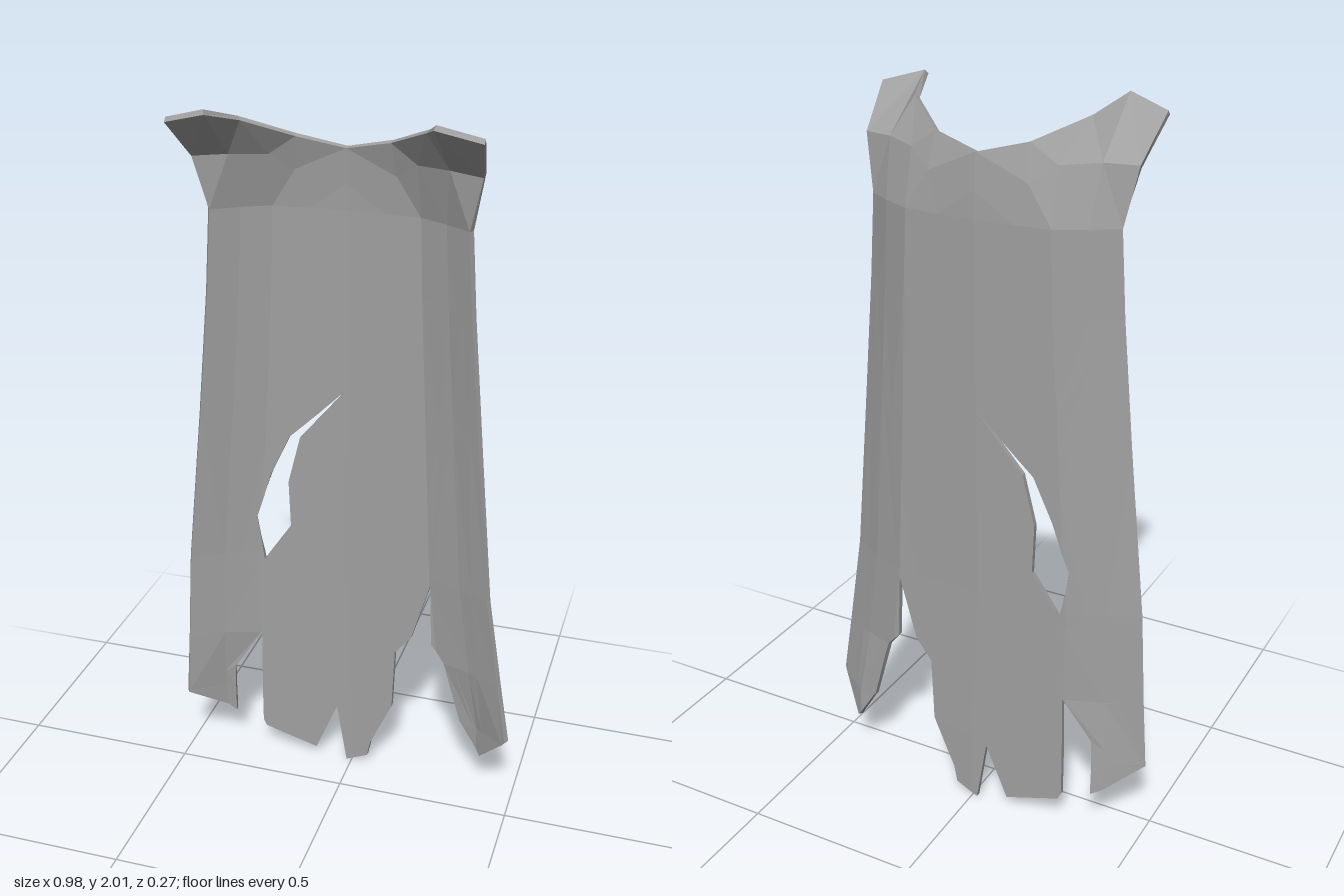
import * as THREE from 'three';
import { mergeVertices } from 'three/addons/utils/BufferGeometryUtils.js';

const TOP = 1.72, THICK = 0.015;
const COLUMNS = [-1, -0.8, -0.58, -0.3, 0, 0.3, 0.58, 0.8, 1]; // vertical folds
const ROWS = [1.5, 1.15, 0.69, 0.42, 0.22];                    // horizontal creases

// piecewise linear lookup, keys ascending
function lookup(table, t) {
  if (t <= table[0][0]) return table[0][1];
  for (let i = 1; i < table.length; i++) {
    const [a, p] = table[i - 1], [b, q] = table[i];
    if (t <= b) return p + (q - p) * (t - a) / (b - a);
  }
  return table[table.length - 1][1];
}

// side edges of the cloth by height
const LEFT = [[0.22, -0.485], [0.69, -0.455], [1.15, -0.405], [1.5, -0.37], [TOP, -0.355]];
const RIGHT = [[0.22, 0.485], [0.69, 0.41], [1.15, 0.367], [1.5, 0.335], [TOP, 0.32]];

// cloth coordinates: u runs -1..1 across, y is height
function toU([x, y]) {
  const l = lookup(LEFT, y), r = lookup(RIGHT, y);
  return new THREE.Vector2(2 * (x - l) / (r - l) - 1, y);
}
function toSpace({ x: u, y }) {
  const l = lookup(LEFT, y), r = lookup(RIGHT, y);
  const hem = lookup([[0.12, -0.1], [0.42, -0.073]], y);
  const z = lookup([[0, -0.121], [0.58, -0.11], [0.8, hem], [1, -0.027]], Math.abs(u));
  return [l + (r - l) * (u + 1) / 2, y, z];
}

// split convex polygons along the line axis = value
function slice(polys, axis, value) {
  const out = [];
  for (const poly of polys) {
    const low = [], high = [];
    poly.forEach((p, i) => {
      const q = poly[(i + 1) % poly.length];
      const snap = (d) => (Math.abs(d) < 1e-6 ? 0 : d);
      const d = snap(p[axis] - value), e = snap(q[axis] - value);
      if (d <= 0) low.push(p);
      if (d >= 0) high.push(p);
      if (d * e < 0) {
        const m = p.clone().lerp(q, d / (d - e));
        low.push(m);
        high.push(m);
      }
    });
    for (const part of [low, high]) if (part.length > 2) out.push(part);
  }
  return out;
}

// hanging cloth with torn hem and slit
function bodyTriangles() {
  const hem = [
    [-0.362, 0.125], [-0.355, 0.295], [-0.275, 0.42], [-0.278, 0.1], [-0.268, 0.08], [-0.11, 0.03],
    [-0.045, 0.19], [-0.015, 0], [0.05, 0.03], [0.06, 0.08], [0.125, 0.23], [0.132, 0.42], [0.18, 0.48],
    [0.232, 0.665], [0.24, 0.47], [0.28, 0.42], [0.335, 0.23], [0.4, 0.125],
  ].map(toU);
  const outline = [
    new THREE.Vector2(-1, TOP), new THREE.Vector2(-1, 0.215), ...hem,
    new THREE.Vector2(1, 0.235), new THREE.Vector2(1, TOP),
  ];
  const slit = [
    [-0.02, 1.225], [-0.15, 1.07], [-0.185, 0.93], [-0.18, 0.79],
    [-0.26, 0.67], [-0.278, 0.81], [-0.235, 0.95], [-0.18, 1.07],
  ].map(toU);
  const points = [...outline, ...slit];
  let polys = THREE.ShapeUtils.triangulateShape(outline, [slit]).map((f) => f.map((i) => points[i]));
  COLUMNS.slice(1, -1).forEach((u) => { polys = slice(polys, 'x', u); });
  ROWS.forEach((y) => { polys = slice(polys, 'y', y); });

  const tris = [];
  for (const poly of polys) {
    // keep every facet facing the front
    if (THREE.ShapeUtils.isClockWise(poly)) poly.reverse();
    for (let i = 1; i < poly.length - 1; i++) tris.push([poly[0], poly[i], poly[i + 1]].map(toSpace));
  }
  return tris;
}

// flared collar with a raised point on each shoulder
function collarTriangles() {
  const mirror = (half) => [...half, ...half.slice(0, -1).reverse().map(([x, y, z]) => [-0.035 - x, y, z])];
  const rows = [
    COLUMNS.map((u) => toSpace({ x: u, y: TOP })),
    mirror([[-0.388, 1.86, -0.005], [-0.3, 1.865, -0.03], [-0.21, 1.86, -0.075],
      [-0.15, 1.82, -0.105], [-0.0175, 1.79, -0.119]]),
    mirror([[-0.408, 1.965, 0.105], [-0.295, 1.995, 0.132], [-0.25, 1.96, 0.012],
      [-0.14, 1.908, -0.082], [-0.0175, 1.88, -0.112]]),
  ];
  const tris = [];
  for (let r = 0; r < 2; r++) {
    for (let c = 0; c < COLUMNS.length - 1; c++) {
      const a = rows[r][c], b = rows[r][c + 1], d = rows[r + 1][c], e = rows[r + 1][c + 1];
      if (c < 4) tris.push([a, b, e], [a, e, d]);
      else tris.push([a, b, d], [b, e, d]);
    }
  }
  return tris;
}

// give a sheet thickness: front, offset back and a rim along open edges
function thicken(tris) {
  let sheet = new THREE.BufferGeometry();
  sheet.setAttribute('position', new THREE.Float32BufferAttribute(tris.flat(2), 3));
  sheet = mergeVertices(sheet, 1e-4);
  sheet.computeVertexNormals();
  const pos = sheet.attributes.position, nor = sheet.attributes.normal, n = pos.count;
  const verts = [], back = [], index = [], edges = new Map();
  for (let i = 0; i < n; i++) {
    const p = new THREE.Vector3().fromBufferAttribute(pos, i);
    verts.push(...p.toArray());
    back.push(...p.addScaledVector(new THREE.Vector3().fromBufferAttribute(nor, i), -THICK).toArray());
  }
  const ids = sheet.index.array;
  for (let k = 0; k < ids.length; k += 3) {
    const t = [ids[k], ids[k + 1], ids[k + 2]];
    if (new Set(t).size < 3) continue;
    index.push(...t, t[2] + n, t[1] + n, t[0] + n);
    t.forEach((a, i) => edges.set(a + '_' + t[(i + 1) % 3], [a, t[(i + 1) % 3]]));
  }
  for (const [a, b] of edges.values()) {
    if (!edges.has(b + '_' + a)) index.push(a, a + n, b, b, a + n, b + n);
  }
  const solid = new THREE.BufferGeometry();
  solid.setAttribute('position', new THREE.Float32BufferAttribute([...verts, ...back], 3));
  solid.setIndex(index);
  const flat = solid.toNonIndexed();
  flat.computeVertexNormals();
  return flat;
}

export function createModel() {
  const group = new THREE.Group();
  group.name = 'tatteredCape';
  const cloth = new THREE.MeshStandardMaterial({ color: 0xa0a0a0 });
  cloth.name = 'greyCloth';
  cloth.flatShading = true;
  const cape = new THREE.Mesh(thicken([...bodyTriangles(), ...collarTriangles()]), cloth);
  cape.name = 'capeCloth';
  group.add(cape);
  return group;
}
